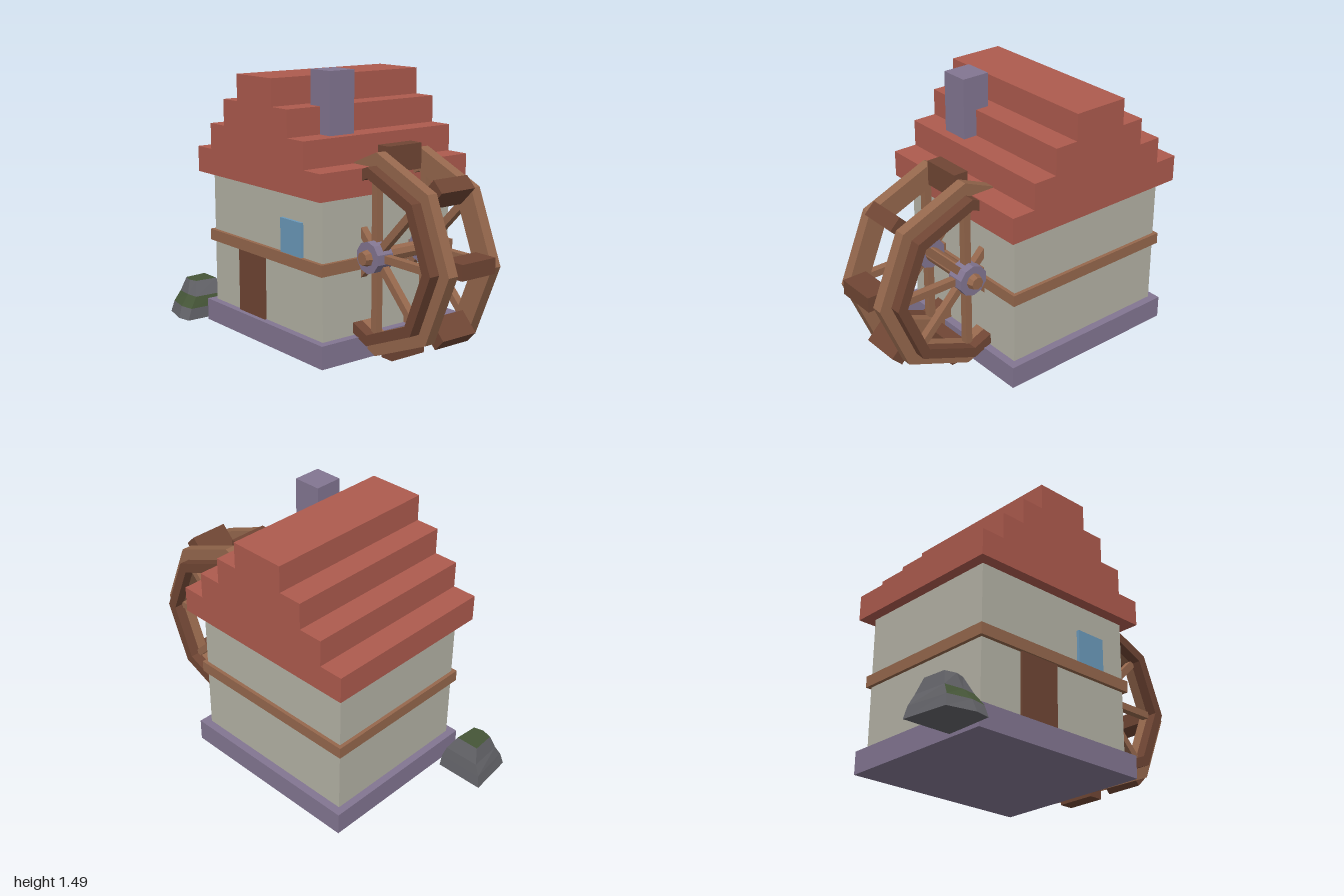
import * as THREE from 'three';

const mat = (name, color) => new THREE.MeshStandardMaterial({ name, color, flatShading: true });

export function createModel() {
  const model = new THREE.Group();
  const M = {
    plaster: mat('plaster', 0xb5b3a6),
    tile: mat('roofTile', 0xae5b4e),
    stone: mat('purpleStone', 0x837692),
    wood: mat('wood', 0x96684d),
    darkWood: mat('darkWood', 0x704634),
    glass: mat('glass', 0x6c9abb),
    rock: mat('rock', 0x636368),
    moss: mat('moss', 0x465638),
  };

  const add = (name, geometry, material, parent = model) => {
    const mesh = new THREE.Mesh(geometry, material);
    mesh.name = name;
    parent.add(mesh);
    return mesh;
  };
  // Box given by its extents on each axis
  const block = (name, material, x0, x1, y0, y1, z0, z1, parent) => {
    const mesh = add(name, new THREE.BoxGeometry(x1 - x0, y1 - y0, z1 - z0), material, parent);
    mesh.position.set((x0 + x1) / 2, (y0 + y1) / 2, (z0 + z1) / 2);
    return mesh;
  };

  // House
  block('foundation', M.stone, -0.7, 0.38, 0, 0.125, -0.53, 0.42);
  block('walls', M.plaster, -0.66, 0.335, 0.125, 0.88, -0.485, 0.38);
  block('beamBand', M.wood, -0.68, 0.355, 0.477, 0.54, -0.505, 0.402);
  block('door', M.darkWood, -0.405, -0.165, 0.125, 0.477, 0.37, 0.393);
  block('window', M.glass, -0.005, 0.175, 0.54, 0.725, 0.37, 0.396);
  block('chimney', M.stone, 0.05, 0.21, 1.05, 1.49, 0.075, 0.235);

  // Stepped gable roof, one solid profile
  const halfWidths = [0.56, 0.425, 0.29, 0.157];
  const heights = [0.873, 1.016, 1.16, 1.305, 1.45];
  const right = halfWidths.flatMap((w, i) => [[w, heights[i]], [w, heights[i + 1]]]);
  const left = right.map(([x, y]) => [-x, y]).reverse();
  const profile = new THREE.Shape([...right, ...left].map(([x, y]) => new THREE.Vector2(x, y)));
  const roof = add('roof', new THREE.ExtrudeGeometry(profile, { depth: 0.995, bevelEnabled: false }), M.tile);
  roof.position.set(-0.16, 0, -0.55);

  // Water wheel, turning about z
  const wheel = new THREE.Group();
  wheel.name = 'waterWheel';
  wheel.position.set(0.44, 0.56, -0.055);
  model.add(wheel);

  const octagon = (r) => Array.from({ length: 8 }, (_, k) =>
    new THREE.Vector2(r * Math.cos(k * Math.PI / 4), r * Math.sin(k * Math.PI / 4)));
  const ring = (name, outer, inner, z0, depth, material) => {
    const shape = new THREE.Shape(octagon(outer));
    shape.holes.push(new THREE.Path(octagon(inner).reverse()));
    add(name, new THREE.ExtrudeGeometry(shape, { depth, bevelEnabled: false }), material, wheel).position.z = z0;
  };
  const rod = (name, r, length, z, material, sides, tip = r) => {
    const geometry = new THREE.CylinderGeometry(tip, r, length, sides).rotateX(Math.PI / 2);
    const mesh = add(name, geometry, material, wheel);
    mesh.position.z = z;
    return mesh;
  };

  rod('axle', 0.04, 0.48, 0, M.wood, 8);
  for (const side of [1, -1]) {
    ring('rim', 0.535, 0.41, side * 0.145 - 0.03, 0.06, M.wood);
    ring('outerRim', 0.468, 0.41, side * 0.205 - 0.03, 0.06, M.darkWood);
    rod('hub', 0.085, 0.1, side * 0.18, M.stone, 10);
    const cap = rod('axleCap', 0.044, 0.035, side * 0.2475, M.wood, 8, 0.035);
    if (side < 0) cap.rotation.y = Math.PI;
  }

  // Spokes and paddles at each corner of the rims
  for (let k = 0; k < 8; k++) {
    const arm = new THREE.Group();
    arm.name = 'wheelArm';
    arm.rotation.z = k * Math.PI / 4;
    wheel.add(arm);
    for (const z of [0.165, -0.165]) block('spoke', M.wood, 0.05, 0.42, -0.02, 0.02, z - 0.02, z + 0.02, arm);
    block('paddle', M.darkWood, 0.425, 0.56, -0.02, 0.062, -0.112, 0.112, arm);
  }

  // Mossy boulder, lofted from four five-sided loops
  const loops = [
    [0, [-1, 0.25], [-0.97, 0.51], [-0.82, 0.545], [-0.74, 0.53], [-0.73, 0.25]],
    [0.065, [-0.985, 0.26], [-0.955, 0.495], [-0.83, 0.52], [-0.745, 0.505], [-0.735, 0.26]],
    [0.125, [-0.955, 0.27], [-0.94, 0.46], [-0.84, 0.47], [-0.765, 0.46], [-0.755, 0.27]],
    [0.205, [-0.93, 0.3], [-0.92, 0.43], [-0.86, 0.445], [-0.81, 0.43], [-0.8, 0.3]],
  ].map(([y, ...points]) => points.map(([x, z]) => [x, y, z]));
  const rockFaces = [], mossFaces = [];
  for (let j = 0; j < 3; j++) {
    for (let i = 0; i < 5; i++) {
      const n = (i + 1) % 5, a = loops[j], b = loops[j + 1];
      const faces = j === 1 && i >= 1 && i <= 3 ? mossFaces : rockFaces;
      faces.push(a[i], a[n], b[n], a[i], b[n], b[i]);
    }
  }
  for (let i = 1; i < 4; i++) {
    mossFaces.push(loops[3][0], loops[3][i], loops[3][i + 1]);
    rockFaces.push(loops[0][0], loops[0][i + 1], loops[0][i]);
  }
  const faceted = (points) => {
    const geometry = new THREE.BufferGeometry();
    geometry.setAttribute('position', new THREE.Float32BufferAttribute(points.flat(), 3));
    geometry.computeVertexNormals();
    return geometry;
  };
  add('boulder', faceted(rockFaces), M.rock);
  add('boulderMoss', faceted(mossFaces), M.moss);

  return model;
}
